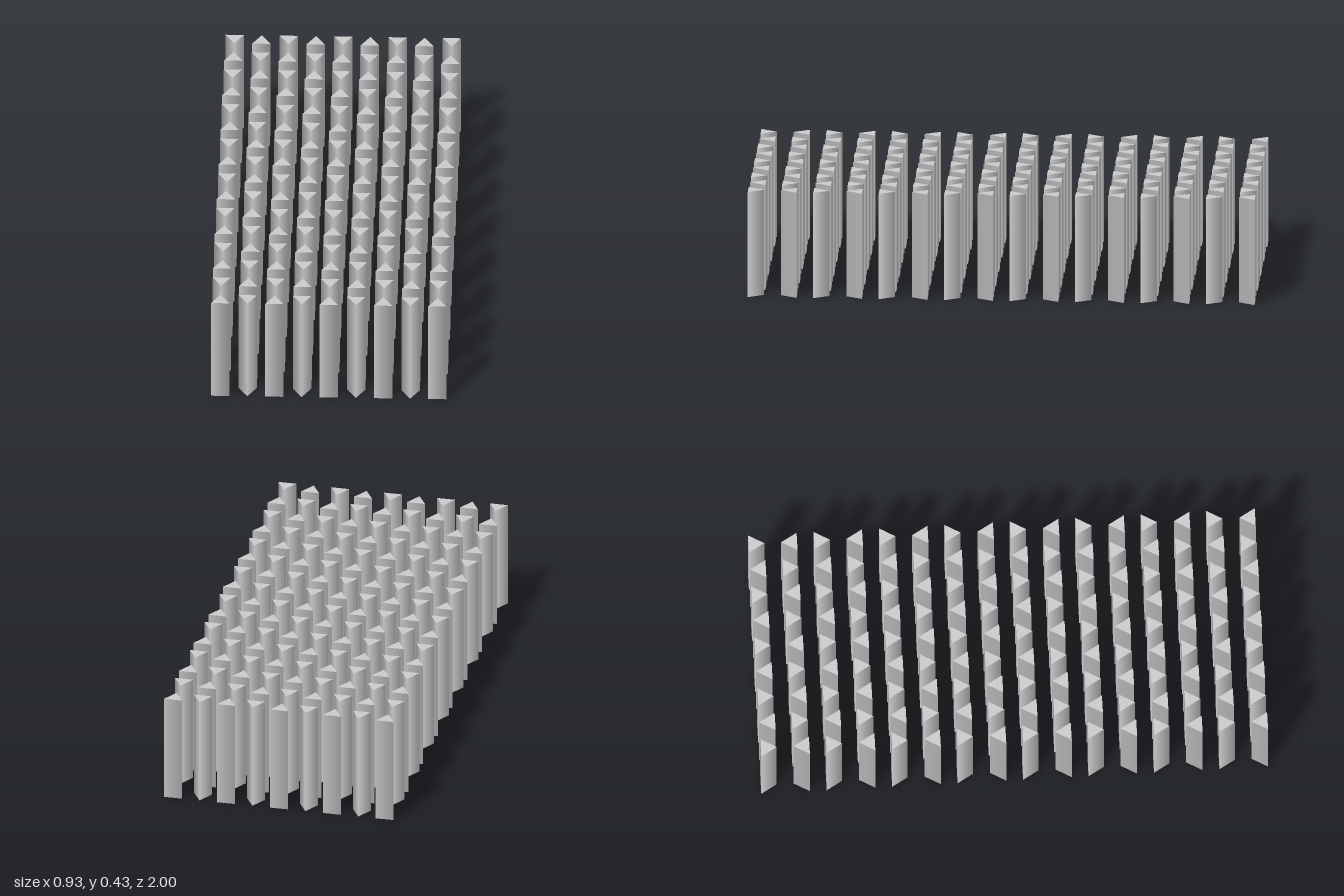
import * as THREE from 'three';

const COLUMNS = 9, ROWS = 16;
const RADIUS = 0.042, HEIGHT = 0.43;
const STEP_X = 0.107;
const STEP_Z = (2 - 1.5 * RADIUS) / (ROWS - 1);

export function createModel() {
  const group = new THREE.Group();
  group.name = 'prismField';
  const material = new THREE.MeshStandardMaterial({ color: 0xcccccc });

  // Three-sided prism, one edge pointing to +z, centred on its bounding box
  const prism = new THREE.CylinderGeometry(RADIUS, RADIUS, HEIGHT, 3);
  prism.translate(0, HEIGHT / 2, -RADIUS / 4);

  // Checkerboard of prisms, every second one turned around
  for (let row = 0; row < ROWS; row++) {
    const rowGroup = new THREE.Group();
    rowGroup.name = `prismRow${row + 1}`;
    rowGroup.position.z = (row - (ROWS - 1) / 2) * STEP_Z;
    for (let col = 0; col < COLUMNS; col++) {
      const mesh = new THREE.Mesh(prism, material);
      mesh.name = `prism${col + 1}`;
      mesh.position.x = (col - (COLUMNS - 1) / 2) * STEP_X;
      if ((row + col) % 2) mesh.rotation.y = Math.PI;
      rowGroup.add(mesh);
    }
    group.add(rowGroup);
  }
  return group;
}
